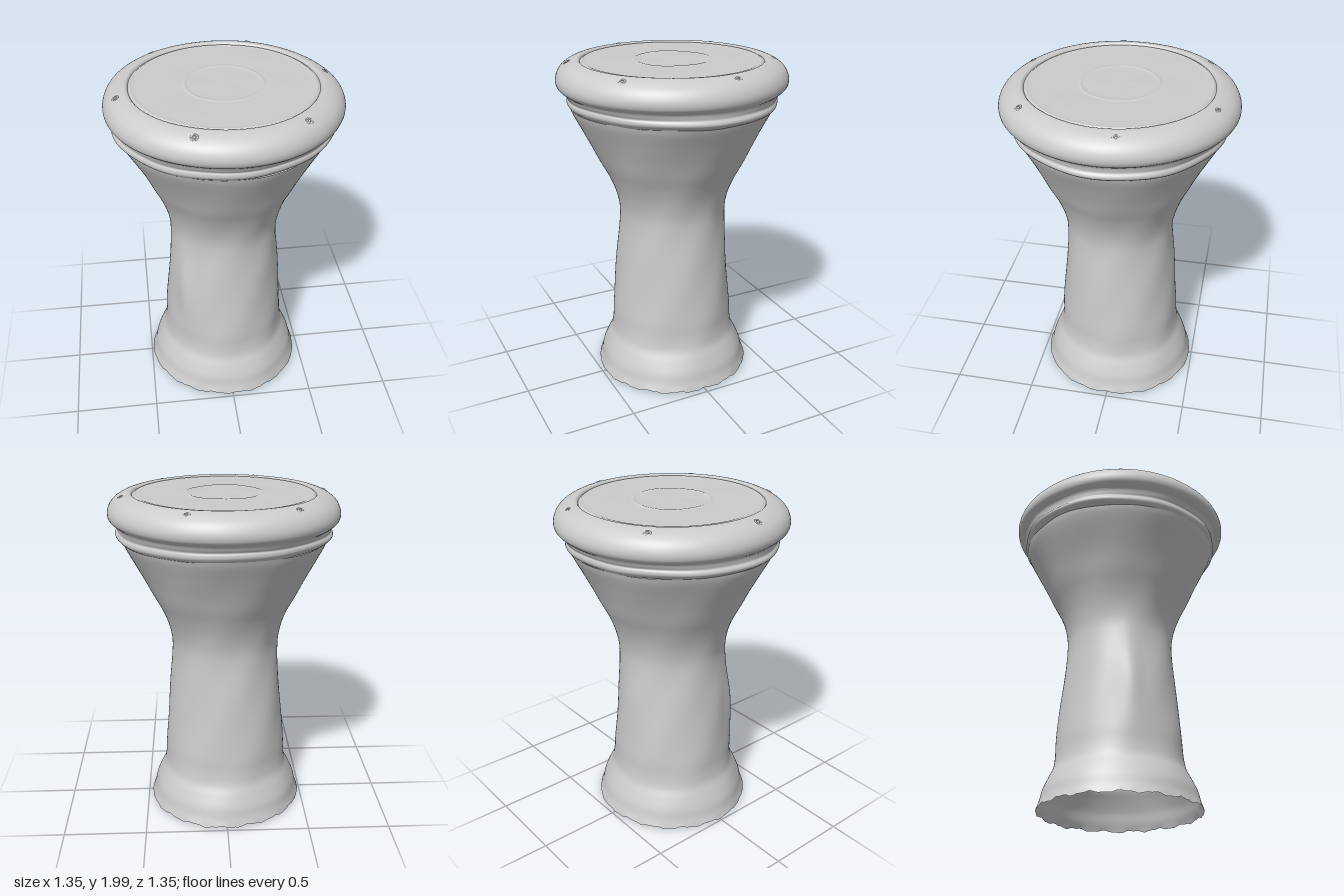
import * as THREE from 'three';
import { mergeVertices } from 'three/addons/utils/BufferGeometryUtils.js';

const material = new THREE.MeshStandardMaterial({ color: 0xcccccc, side: THREE.DoubleSide });
const gauss = (v, centre, width) => Math.exp(-(((v - centre) / width) ** 2));

// Turn a smooth [radius, height] profile, then nudge each vertex by a rule(angle, y, r) -> {dr, dy}
function turned(name, profile, samples, rule) {
  const curve = new THREE.CatmullRomCurve3(profile.map(([r, y]) => new THREE.Vector3(r, y, 0)), false, 'centripetal');
  const points = curve.getPoints(samples).map((p) => new THREE.Vector2(Math.max(p.x, 0), p.y));
  let geometry = new THREE.LatheGeometry(points, 128);
  geometry.deleteAttribute('uv');
  geometry.deleteAttribute('normal');
  geometry = mergeVertices(geometry, 1e-5); // closes the seam so shading stays smooth
  const pos = geometry.attributes.position;
  for (let i = 0; i < pos.count; i++) {
    const x = pos.getX(i), y = pos.getY(i), z = pos.getZ(i);
    const r = Math.hypot(x, z);
    const a = Math.atan2(x, z);
    const { dr = 0, dy = 0 } = rule(a, y, r);
    const k = r > 1e-4 ? (r + dr) / r : 1;
    pos.setXYZ(i, x * k, y + dy, z * k);
  }
  geometry.computeVertexNormals();
  const mesh = new THREE.Mesh(geometry, material);
  mesh.name = name;
  return mesh;
}

export function createModel() {
  const group = new THREE.Group();
  group.name = 'gobletDrum';

  // Hollow shell: flared foot, slim neck and bowl, with a ragged open bottom edge
  const bodyProfile = [
    [0.482, 0.012], [0.465, 0.06], [0.45, 0.12], [0.42, 0.19], [0.392, 0.25], [0.38, 0.32],
    [0.375, 0.42], [0.36, 0.6], [0.343, 0.8], [0.327, 1.0], [0.328, 1.1], [0.349, 1.2],
    [0.387, 1.3], [0.437, 1.4], [0.484, 1.5], [0.535, 1.6], [0.588, 1.7], [0.602, 1.735],
  ];
  group.add(turned('body', bodyProfile, 110, (a, y) => {
    const ridge = 0.022 * gauss(a, -0.85, 0.17) * gauss(y, 0.72, 0.2);
    const worn = 0.003 * Math.sin(3 * a + 5 * y) + 0.002 * Math.sin(7 * a - 11 * y);
    const lean = -0.006 * Math.sin(a) * gauss(y, 0.5, 0.6);
    const bulge = 0.012 * gauss(a, -1.4, 0.5) * gauss(y, 1.66, 0.12);
    const ragged = 0.006 * (Math.sin(17 * a) + 0.6 * Math.sin(41 * a + 1)) * gauss(y, 0.012, 0.02);
    return { dr: ridge + worn + lean + bulge, dy: ragged };
  }));

  // Collar band below the rim, standing proud at both sides
  const collarProfile = [
    [0.59, 1.725], [0.607, 1.738], [0.618, 1.755], [0.618, 1.773], [0.614, 1.785],
    [0.622, 1.8], [0.632, 1.82], [0.648, 1.84],
  ];
  group.add(turned('collar', collarProfile, 36, (a, y) => ({
    dr: 0.02 * Math.sin(a) ** 4 * gauss(y, 1.765, 0.03) + 0.003 * Math.sin(9 * a + 1),
    dy: 0.006 * Math.sin(2 * a + 0.6) * gauss(y, 1.75, 0.05),
  })));

  // Rounded rim
  const rimProfile = [
    [0.63, 1.82], [0.652, 1.835], [0.671, 1.855], [0.677, 1.885], [0.668, 1.92], [0.648, 1.95],
    [0.615, 1.975], [0.58, 1.99], [0.553, 1.996], [0.54, 1.994], [0.53, 1.982],
  ];
  group.add(turned('rim', rimProfile, 48, (a) => ({ dr: 0.002 * Math.sin(5 * a) })));

  // Drum head with an edge bead and a faint worn ring around the middle
  const headProfile = [
    [0.534, 1.983], [0.526, 1.985], [0.518, 1.99], [0.505, 1.988], [0.4, 1.988], [0.26, 1.988],
    [0.235, 1.988], [0.22, 1.991], [0.205, 1.988], [0.1, 1.988], [0, 1.988],
  ];
  group.add(turned('head', headProfile, 90, (a, y, r) => ({
    dy: 0.0015 * Math.sin(4 * a + 9 * r) * Math.sin(Math.PI * Math.min(r / 0.53, 1)),
  })));

  // Six tuning screws sunk into the rim
  const socketGeometry = new THREE.TorusGeometry(0.017, 0.005, 8, 20);
  const pinGeometry = new THREE.SphereGeometry(0.008, 12, 8);
  for (let i = 0; i < 6; i++) {
    const a = 0.35 + (i * Math.PI) / 3 + Math.PI / 3 - 0.72;
    const screw = new THREE.Group();
    screw.name = 'tuningScrew';
    screw.add(new THREE.Mesh(socketGeometry, material), new THREE.Mesh(pinGeometry, material));
    screw.position.set(0.605 * Math.sin(a), 1.977, 0.605 * Math.cos(a));
    // Face the socket along the slope of the rim
    screw.lookAt(screw.position.clone().add(new THREE.Vector3(0.55 * Math.sin(a), 0.83, 0.55 * Math.cos(a))));
    group.add(screw);
  }

  return group;
}
